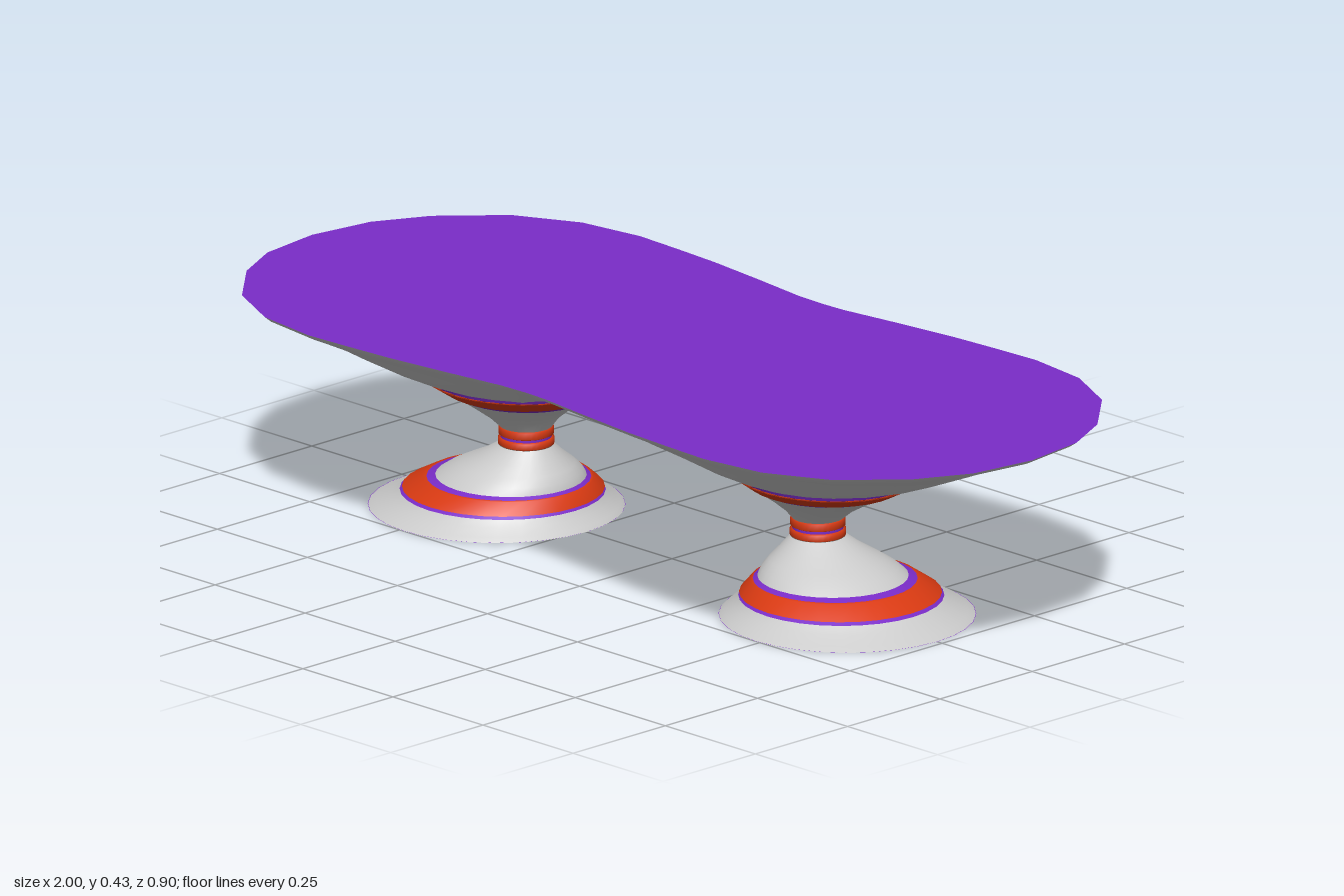
import * as THREE from 'three';
import { mergeGeometries, mergeVertices } from 'three/addons/utils/BufferGeometryUtils.js';

const grey = new THREE.MeshStandardMaterial({ color: 0xcccccc, side: THREE.DoubleSide });
const orange = new THREE.MeshStandardMaterial({ color: 0xd93a12, side: THREE.DoubleSide });
const violet = new THREE.MeshStandardMaterial({ color: 0x7a2cc8, side: THREE.DoubleSide });

const SIDES = 32, RIM_Y = 0.43;

function mesh(name, geometry, material) {
  const m = new THREE.Mesh(geometry, material);
  m.name = name;
  return m;
}

// Skin closed loops of points, listed from bottom to top
function loft(loops) {
  const n = loops[0].length, index = [];
  for (let j = 0; j < loops.length - 1; j++) {
    for (let i = 0; i < n; i++) {
      const a = j * n + i, b = j * n + (i + 1) % n;
      index.push(a, a + n, b, b, a + n, b + n);
    }
  }
  const g = new THREE.BufferGeometry();
  g.setAttribute('position', new THREE.Float32BufferAttribute(loops.flat(2), 3));
  g.setIndex(index);
  g.computeVertexNormals();
  return g;
}

// Circle given as [height, radius, centre x, stretch in x]
function ring([y, r, cx, stretch = 1]) {
  return Array.from({ length: SIDES }, (_, i) => {
    const a = (i / SIDES) * Math.PI * 2;
    return [cx + r * stretch * Math.cos(a), y, r * Math.sin(a)];
  });
}

// Pedestal sections from the ground up; the foot is set outward of the neck
const sections = [
  ['foot', grey, [[0, 0.25, 0.487], [0.008, 0.238, 0.483], [0.022, 0.214, 0.475], [0.035, 0.2, 0.47]]],
  ['footLowerTrim', violet, [[0.035, 0.2, 0.47], [0.04, 0.193, 0.468]]],
  ['footBand', orange, [[0.04, 0.193, 0.468], [0.041, 0.197, 0.468], [0.064, 0.166, 0.455], [0.065, 0.16, 0.453]]],
  ['footUpperTrim', violet, [[0.065, 0.16, 0.453], [0.07, 0.147, 0.447]]],
  ['lowerStem', grey, [[0.07, 0.147, 0.447], [0.085, 0.133, 0.438], [0.1, 0.112, 0.428], [0.12, 0.082, 0.415], [0.143, 0.054, 0.405]]],
  ['lowerCollar', orange, [[0.143, 0.052, 0.405], [0.145, 0.055, 0.405], [0.156, 0.055, 0.405], [0.158, 0.05, 0.405]]],
  ['collarTrim', violet, [[0.158, 0.05, 0.405], [0.163, 0.05, 0.405]]],
  ['upperCollar', orange, [[0.163, 0.05, 0.405], [0.165, 0.054, 0.405], [0.178, 0.054, 0.405], [0.18, 0.05, 0.405]]],
  ['upperStem', grey, [[0.18, 0.051, 0.405], [0.2, 0.07, 0.41], [0.222, 0.098, 0.416, 1.05], [0.243, 0.127, 0.42, 1.1]]],
  ['bowlLowerTrim', violet, [[0.243, 0.127, 0.42, 1.1], [0.249, 0.139, 0.424, 1.1]]],
  ['bowlBand', orange, [[0.249, 0.139, 0.424, 1.1], [0.25, 0.143, 0.424, 1.1], [0.271, 0.173, 0.43, 1.1], [0.272, 0.168, 0.43, 1.1]]],
  ['bowlUpperTrim', violet, [[0.272, 0.168, 0.43, 1.1], [0.28, 0.172, 0.43, 1.1]]],
];

function pedestal() {
  const g = new THREE.Group();
  for (const [name, material, rings] of sections) g.add(mesh(name, loft(rings.map(ring)), material));
  const base = new THREE.CircleGeometry(0.25, SIDES).rotateX(Math.PI / 2).translate(0.487, 0.0005, 0);
  g.add(mesh('footUnderside', base, violet));
  return g;
}

// Quarter of the rim outline as [x, z], from the waist to the tip
const quarter = [[0, 0.403], [0.06, 0.405], [0.19, 0.422], [0.33, 0.438], [0.44, 0.445], [0.55, 0.45],
  [0.69, 0.43], [0.82, 0.365], [0.925, 0.25], [0.98, 0.14], [1, 0]];
const halfRim = [...quarter.map(([x, z]) => [x, -z]), ...quarter.slice(0, -1).reverse()];

// One lobe of the dish, from the pedestal top to the rim and the waist section
function lobe() {
  const cx = 0.43, baseY = 0.28, waistZ = 0.403;
  const edge = halfRim.map(([x, z]) => ({ x, z, y: RIM_Y, saddle: 0 }));
  for (let k = 1; k < 10; k++) {
    const u = 1 - k / 5;
    edge.push({ x: 0, z: u * waistZ, y: 0.34 + 0.09 * Math.abs(u) ** 1.6, saddle: 1 - u * u });
  }
  const steps = [[0, 0], [0.12, 0.09], [0.25, 0.2], [0.4, 0.36], [0.55, 0.52], [0.7, 0.69], [0.85, 0.83], [0.96, 0.93], [1, 1]];
  return loft(steps.map(([t, f]) => edge.map((e) => {
    const a = Math.atan2(e.z, e.x - cx);
    const x0 = cx + 0.193 * Math.cos(a), z0 = 0.176 * Math.sin(a);
    const rise = THREE.MathUtils.lerp(f, Math.sin(t * Math.PI / 2), e.saddle);
    return [x0 + (e.x - x0) * t, baseY + (e.y - baseY) * rise, z0 + (e.z - z0) * t];
  })));
}

export function createModel() {
  const model = new THREE.Group();
  model.name = 'doublePedestalTable';

  // Two mirrored pedestals
  ['leftPedestal', 'rightPedestal'].forEach((name, i) => {
    const p = pedestal();
    p.name = name;
    p.rotation.y = i * Math.PI;
    model.add(p);
  });

  // Underside of the top: two lobes welded at the waist
  const half = lobe();
  half.deleteAttribute('normal');
  const under = mergeVertices(mergeGeometries([half, half.clone().rotateY(Math.PI)]), 1e-4);
  under.computeVertexNormals();
  model.add(mesh('dishUnderside', under, grey));

  // Flat coloured top
  const outline = [...halfRim, ...halfRim.slice(1, -1).map(([x, z]) => [-x, -z])];
  outline.splice(halfRim.length, 0, [0, 0.403]);
  const shape = new THREE.Shape(outline.map(([x, z]) => new THREE.Vector2(x, -z)));
  const top = new THREE.ShapeGeometry(shape).rotateX(-Math.PI / 2).translate(0, RIM_Y, 0);
  model.add(mesh('tableTop', top, violet));
  return model;
}
